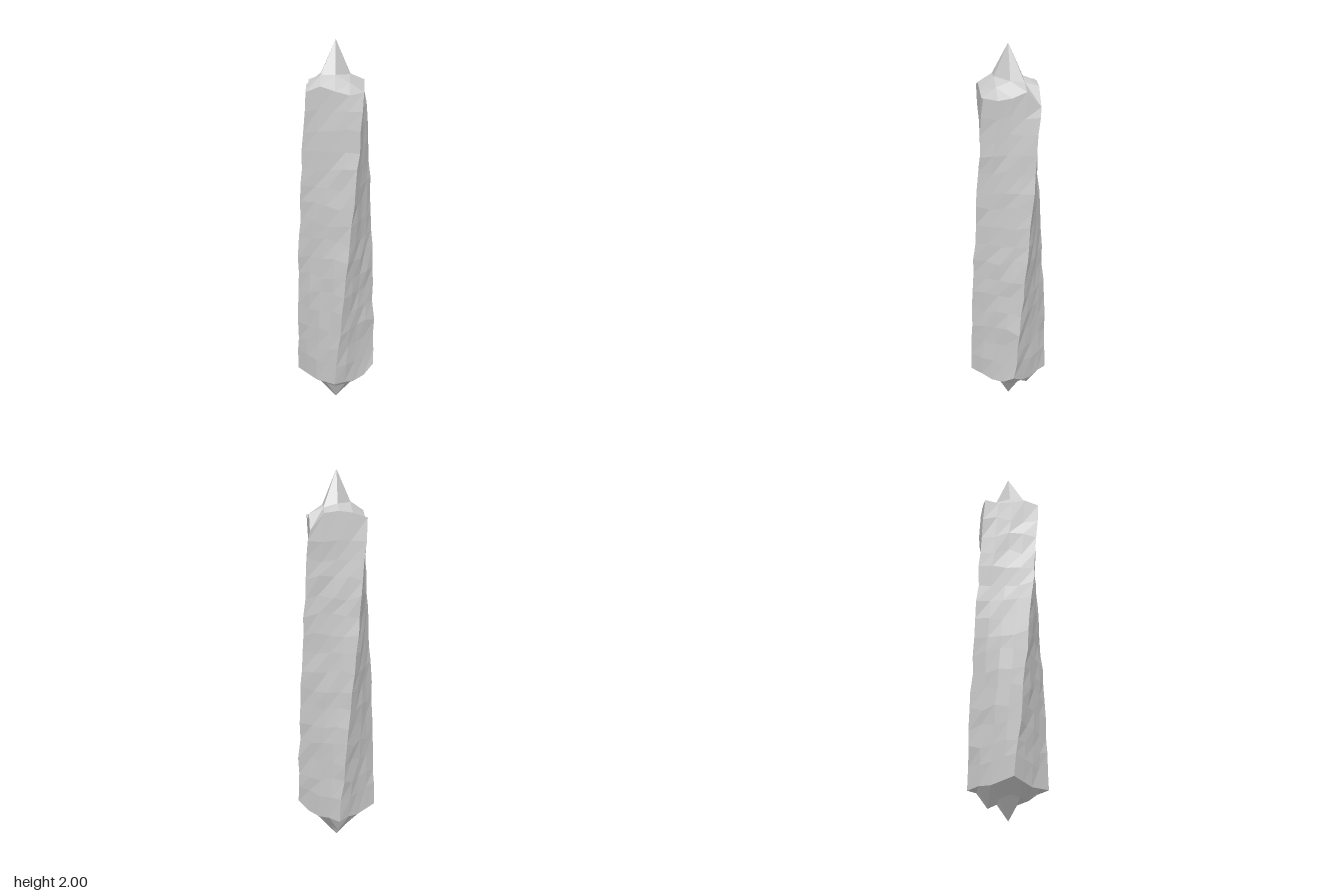
import * as THREE from 'three';

const HALF = 0.147, ROWS = 16, TWIST = Math.PI / 4;

// Cap heights on a 5 x 5 grid: rows run back to front, columns along x (before twisting)
const TOP = [
  [1.755, 1.78, 1.76, 1.75, 1.765],
  [1.785, 1.83, 1.83, 1.80, 1.79],
  [1.76, 1.83, 2.00, 1.83, 1.80],
  [1.74, 1.79, 1.82, 1.81, 1.79],
  [1.755, 1.74, 1.75, 1.78, 1.70],
];
const BOTTOM = [
  [0.17, 0.16, 0.15, 0.16, 0.15],
  [0.16, 0.11, 0.10, 0.06, 0.155],
  [0.15, 0.11, 0.00, 0.10, 0.145],
  [0.16, 0.11, 0.10, 0.11, 0.16],
  [0.17, 0.16, 0.145, 0.155, 0.20],
];

// Repeatable noise in -1..1, equal for coincident corners
function noise(i, j, k, seed) {
  const s = Math.sin(i * 12.99 + j * 78.23 + k * 37.72 + seed * 19.19) * 43758.55;
  return (s - Math.floor(s)) * 2 - 1;
}

export function createModel() {
  const group = new THREE.Group();
  group.name = 'crystal';

  const geo = new THREE.BoxGeometry(2 * HALF, 1, 2 * HALF, 4, ROWS, 4);

  // Turn the quad diagonals of the top cap
  const index = geo.index, cap = geo.groups[2];
  for (let n = cap.start; n < cap.start + cap.count; n += 6) {
    const a = index.getX(n), c = index.getX(n + 4);
    index.setX(n + 2, c);
    index.setX(n + 3, a);
  }

  // Peak the caps, roughen the sides and twist the shaft by an eighth turn
  const pos = geo.attributes.position;
  for (let n = 0; n < pos.count; n++) {
    let x = pos.getX(n), z = pos.getZ(n);
    const i = Math.round((x / HALF + 1) * 2);
    const k = Math.round((z / HALF + 1) * 2);
    const j = Math.round((pos.getY(n) + 0.5) * ROWS);
    let y = 0.17 + (j / ROWS) * 1.58;
    if (j === 0) y = BOTTOM[k][i];
    else if (j === ROWS) y = TOP[k][i];
    else {
      y += noise(i, j, k, 1) * 0.018;
      x += noise(i, j, k, 2) * 0.005;
      z += noise(i, j, k, 3) * 0.005;
    }
    const angle = TWIST * j / ROWS;
    const c = Math.cos(angle), s = Math.sin(angle);
    pos.setXYZ(n, x * c + z * s, y, z * c - x * s);
  }
  geo.clearGroups();
  geo.computeVertexNormals();

  const material = new THREE.MeshStandardMaterial({ color: 0xcccccc, flatShading: true });
  const shard = new THREE.Mesh(geo, material);
  shard.name = 'twistedShard';
  group.add(shard);
  return group;
}
